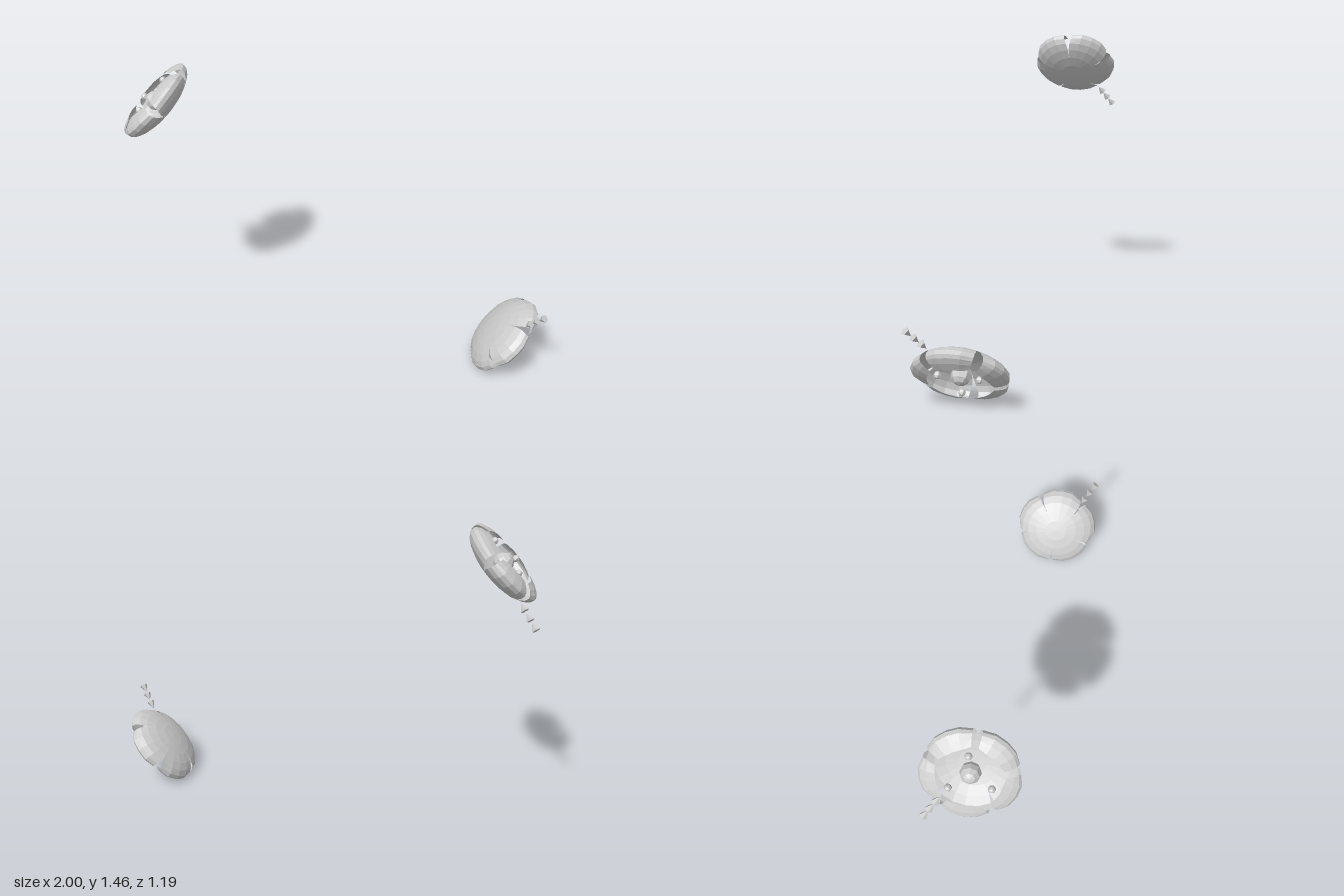
import * as THREE from 'three';

const mat = new THREE.MeshStandardMaterial({ color: 0xcccccc, flatShading: true, side: THREE.DoubleSide });
const R = 0.216, DEPTH = 0.086, LIP = 0.05; // blossom radius, bowl depth, height of the rolled lip
const MID = 0.7375; // height of the point both blossoms face away from

function add(parent, name, geometry, x = 0, y = 0, z = 0) {
  const mesh = new THREE.Mesh(geometry, mat);
  mesh.name = name;
  mesh.position.set(x, y, z);
  parent.add(mesh);
  return mesh;
}

// One petal: a sector of a shallow bowl whose tip rolls over the rim and back inward
function petalGeometry() {
  const geo = new THREE.PlaneGeometry(2, 1, 4, 9);
  const p = geo.attributes.position;
  for (let i = 0; i < p.count; i++) {
    const u = p.getX(i), v = p.getY(i) + 0.5;
    const edge = Math.pow(Math.abs(u), 4) * THREE.MathUtils.smoothstep(v, 0.3, 0.8);
    const theta = THREE.MathUtils.degToRad(140) * v * (1 - 0.05 * edge);
    const half = THREE.MathUtils.degToRad(36 - 6 * THREE.MathUtils.smoothstep(v, 0.25, 0.65));
    const curl = 1 - 0.06 * edge;
    const r = R * Math.sin(theta) * curl;
    const h = -Math.cos(theta) * curl * (theta < Math.PI / 2 ? DEPTH : LIP);
    p.setXYZ(i, r * Math.sin(u * half), h, r * Math.cos(u * half));
  }
  geo.computeVertexNormals();
  return geo;
}

// Blossom in local space: opens along +y; s = 1 or -1 sets the direction of its slight twist
function blossom(s) {
  const g = new THREE.Group();
  g.name = 'blossom';
  const petal = petalGeometry();
  for (let i = 0; i < 5; i++) add(g, 'petal', petal).rotation.y = (i * Math.PI * 2) / 5 - s * 0.1;
  add(g, 'pistil', new THREE.SphereGeometry(0.046, 8, 6), 0, -0.005, 0);
  const bead = new THREE.SphereGeometry(0.017, 6, 5);
  for (let i = 0; i < 3; i++) {
    const a = Math.PI + (i * Math.PI * 2) / 3 + s * 0.08;
    add(g, 'stamen', bead, 0.103 * Math.sin(a), 0.03, 0.103 * Math.cos(a));
  }
  return g;
}

export function createModel() {
  const model = new THREE.Group();
  model.name = 'blossomPair';

  const yAxis = new THREE.Vector3(-0.6, 0.68, 0.42).normalize();
  const zAxis = new THREE.Vector3(-0.55, -0.7, 0.4);
  zAxis.addScaledVector(yAxis, -zAxis.dot(yAxis)).normalize();
  const xAxis = new THREE.Vector3().crossVectors(yAxis, zAxis);
  const center = new THREE.Vector3(-0.754, 1.314 - MID, 0.4);
  const trailDir = new THREE.Vector3(0.7, 0.7, 0.1).normalize();
  const cone = new THREE.ConeGeometry(0.02, 0.04, 5);

  // Two blossoms on opposite corners, turned away from each other
  for (const s of [1, -1]) {
    const b = blossom(s);
    const basis = new THREE.Matrix4().makeBasis(
      xAxis, yAxis.clone().multiplyScalar(s), zAxis.clone().multiplyScalar(s));
    b.quaternion.setFromRotationMatrix(basis);
    b.position.copy(center).multiplyScalar(s);
    b.position.y += MID;
    model.add(b);

    // Trail of three small thorns pointing at the blossom
    const trail = new THREE.Group();
    trail.name = 'thornTrail';
    for (let i = 0; i < 3; i++) {
      const thorn = add(trail, 'thorn', cone,
        s * (-0.974 + i * 0.035), MID + s * (1.086 - MID + i * 0.035), s * (0.334 + i * 0.005));
      thorn.quaternion.setFromUnitVectors(new THREE.Vector3(0, 1, 0), trailDir.clone().multiplyScalar(s));
    }
    model.add(trail);
  }
  return model;
}
